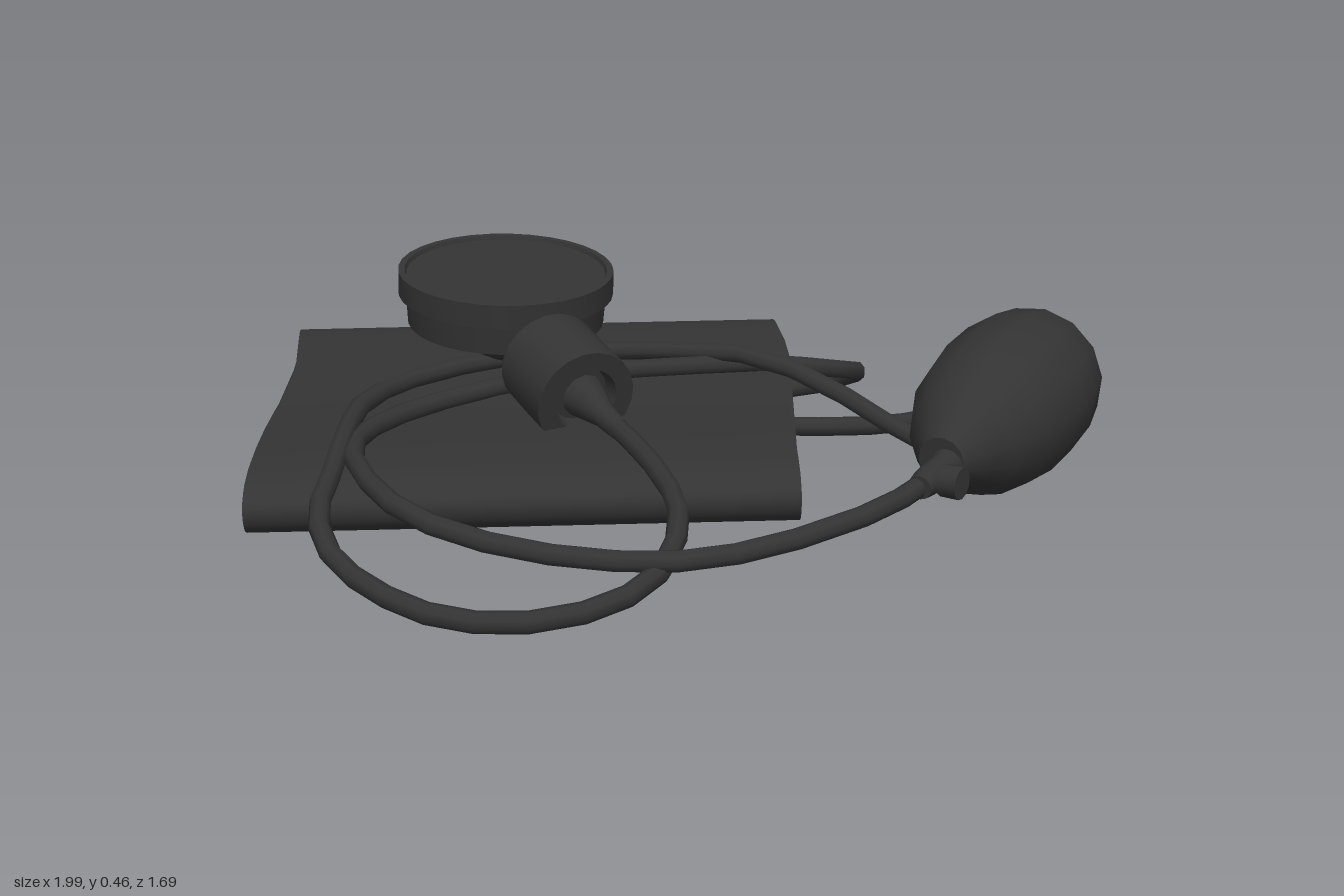
import * as THREE from 'three';
import { toCreasedNormals } from 'three/addons/utils/BufferGeometryUtils.js';

const material = new THREE.MeshStandardMaterial({ color: 0x333333, side: THREE.DoubleSide });
const V = (p) => new THREE.Vector3(...p);
const UP = new THREE.Vector3(0, 1, 0);

function add(group, name, geometry, crease = 0) {
  const mesh = new THREE.Mesh(crease ? toCreasedNormals(geometry, crease) : geometry, material);
  mesh.name = name;
  group.add(mesh);
  return mesh;
}

// Lathed part whose axis runs from a towards b; profile is [radius, distance from a]
function turned(group, name, a, b, profile, sides, crease) {
  const g = new THREE.LatheGeometry(profile.map((p) => new THREE.Vector2(...p)), sides);
  const mesh = add(group, name, g, crease);
  mesh.position.copy(V(a));
  mesh.quaternion.setFromUnitVectors(UP, V(b).sub(V(a)).normalize());
  return mesh;
}

// Low-poly hose with rings spaced evenly between its points
function hose(group, name, points) {
  const curve = new THREE.CatmullRomCurve3(points.map(V), false, 'centripetal');
  curve.getUtoTmapping = (u) => u;
  return add(group, name, new THREE.TubeGeometry(curve, Math.round(points.length * 1.5), 0.024, 8));
}

// Folded cloth: a thin strip following a spiral of [z, y], extruded along x
function cuffGeometry() {
  const path = [
    [0.19, 0.095], [-0.3, 0.13], [-0.66, 0.165], [-0.76, 0.155], [-0.795, 0.11], [-0.74, 0.06],
    [-0.55, 0.045], [-0.1, 0.043], [0.17, 0.043], [0.225, 0.06], [0.235, 0.09], [0.2, 0.12],
    [-0.25, 0.16], [-0.65, 0.2], [-0.75, 0.203], [-0.815, 0.18], [-0.838, 0.12], [-0.79, 0.056],
    [-0.69, 0.02], [-0.4, 0.016], [0.1, 0.016], [0.2, 0.018], [0.24, 0.045], [0.247, 0.085], [0.21, 0.115],
  ].map(([z, y]) => new THREE.Vector3(-z, y, 0));
  const curve = new THREE.CatmullRomCurve3(path, false, 'centripetal');
  const n = 90, sideA = [], sideB = [];
  for (let i = 0; i <= n; i++) {
    const p = curve.getPoint(i / n), t = curve.getTangent(i / n);
    sideA.push(new THREE.Vector2(p.x - t.y * 0.008, p.y + t.x * 0.008));
    sideB.unshift(new THREE.Vector2(p.x + t.y * 0.008, p.y - t.x * 0.008));
  }
  const g = new THREE.ExtrudeGeometry(new THREE.Shape([...sideA, ...sideB]), { depth: 1.25, steps: 8, bevelEnabled: false });
  g.rotateY(Math.PI / 2).translate(-0.99, 0, 0);
  // Skew the cloth a little, ripple its side edges and let the left end sag
  const pos = g.attributes.position;
  for (let i = 0; i < pos.count; i++) {
    const x = pos.getX(i), y = pos.getY(i), z = pos.getZ(i);
    const sag = Math.max(0, (-x - 0.5) / 0.5) * Math.exp(-(((z + 0.3) / 0.25) ** 2));
    pos.setX(i, x + 0.026 * Math.exp(-(((z + 0.5) / 0.2) ** 2)));
    pos.setY(i, y + (0.09 - y) * 0.22 * sag);
    pos.setZ(i, z + (0.26 - x) * (0.036 - 0.012 * z));
  }
  return g;
}

export function createModel() {
  const model = new THREE.Group();
  model.name = 'bloodPressureCuffSet';

  add(model, 'cuff', cuffGeometry(), 0.7);

  // Round gauge with raised rim and a small rounded base, tilted slightly forward
  const gauge = new THREE.Group();
  gauge.name = 'gauge';
  gauge.position.set(-0.43, 0.395, -0.45);
  gauge.rotation.set(0.085, 0, -0.035);
  model.add(gauge);
  const dial = [[0, -0.195], [0.05, -0.185], [0.095, -0.155], [0.125, -0.095], [0.245, -0.09],
    [0.25, -0.02], [0.268, -0.015], [0.268, 0.045], [0.252, 0.045], [0.248, 0.035], [0, 0.035]];
  add(gauge, 'gaugeBody', new THREE.LatheGeometry(dial.map((p) => new THREE.Vector2(...p)), 32), 0.6);

  // Fitting on the gauge, with a recessed mouth and tapered nozzle
  turned(model, 'gaugeFitting', [-0.32, 0.265, -0.235], [-0.228, 0.22, -0.055],
    [[0, 0], [0.125, 0], [0.125, 0.207], [0.08, 0.207], [0.07, 0.17], [0, 0.17]], 20, 0.6);
  turned(model, 'gaugeNozzle', [-0.235, 0.225, -0.075], [-0.15, 0.187, 0.07],
    [[0, 0], [0.055, 0], [0.045, 0.04], [0.03, 0.1], [0.026, 0.17], [0, 0.17]], 12, 0.7);

  // Hose from the pump valve, round the front, under the gauge and into the cuff
  hose(model, 'pumpHose', [
    [0.52, 0.155, 0.36], [0.42, 0.145, 0.48], [0.2, 0.115, 0.6], [0, 0.1, 0.66], [-0.2, 0.1, 0.65],
    [-0.42, 0.115, 0.59], [-0.6, 0.135, 0.47], [-0.71, 0.155, 0.3], [-0.76, 0.17, 0.12], [-0.72, 0.175, -0.02],
    [-0.6, 0.18, -0.16], [-0.4, 0.19, -0.29], [-0.18, 0.2, -0.35], [0, 0.2, -0.38], [0.2, 0.2, -0.405],
    [0.38, 0.17, -0.45], [0.47, 0.13, -0.55], [0.45, 0.09, -0.64], [0.37, 0.05, -0.68], [0.2, 0.04, -0.68],
  ]);

  // Hose from the gauge, round the front, back under the gauge and round behind the bulb
  hose(model, 'gaugeHose', [
    [-0.18, 0.2, 0.02], [-0.1, 0.17, 0.17], [-0.035, 0.135, 0.35], [-0.025, 0.11, 0.5], [-0.08, 0.07, 0.68],
    [-0.2, 0.045, 0.78], [-0.37, 0.033, 0.82], [-0.53, 0.04, 0.79], [-0.66, 0.06, 0.7], [-0.76, 0.085, 0.57],
    [-0.805, 0.12, 0.42], [-0.795, 0.15, 0.25], [-0.78, 0.19, 0.08], [-0.76, 0.2, -0.1], [-0.68, 0.2, -0.27],
    [-0.52, 0.205, -0.4], [-0.33, 0.21, -0.47], [-0.14, 0.215, -0.475], [0.02, 0.225, -0.43], [0.2, 0.232, -0.35],
    [0.4, 0.17, -0.225], [0.54, 0.095, -0.165], [0.66, 0.045, -0.155], [0.82, 0.033, -0.19], [0.93, 0.033, -0.27],
    [0.955, 0.033, -0.38], [0.915, 0.033, -0.46], [0.8, 0.033, -0.5], [0.7, 0.033, -0.48], [0.58, 0.033, -0.42],
    [0.44, 0.033, -0.39], [0.18, 0.035, -0.4],
  ]);

  // Squeeze bulb
  const bulb = turned(model, 'squeezeBulb', [0.57, 0.175, 0.27], [0.94, 0.25, -0.305], [
    [0, 0], [0.055, 0], [0.085, 0.045], [0.135, 0.12], [0.172, 0.21], [0.19, 0.32], [0.191, 0.44],
    [0.169, 0.54], [0.124, 0.61], [0.065, 0.645], [0, 0.655],
  ], 14, 0.8);
  bulb.scale.set(1, 1, 1.04);
  turned(model, 'bulbIntake', [0.92, 0.243, -0.255], [0.953, 0.25, -0.32],
    [[0, 0], [0.037, 0], [0.037, 0.085], [0.02, 0.085], [0.015, 0.07], [0, 0.07]], 12, 0.6);

  // Release valve and its thumb screw
  turned(model, 'releaseValve', [0.6, 0.17, 0.25], [0.5, 0.155, 0.4],
    [[0, 0], [0.045, 0], [0.034, 0.06], [0.034, 0.13], [0.028, 0.17], [0, 0.17]], 12, 0.6);
  turned(model, 'valveScrew', [0.53, 0.165, 0.345], [0.6, 0.165, 0.395],
    [[0, 0], [0.016, 0], [0.016, 0.04], [0.037, 0.04], [0.037, 0.085], [0, 0.085]], 12, 0.6);

  return model;
}
